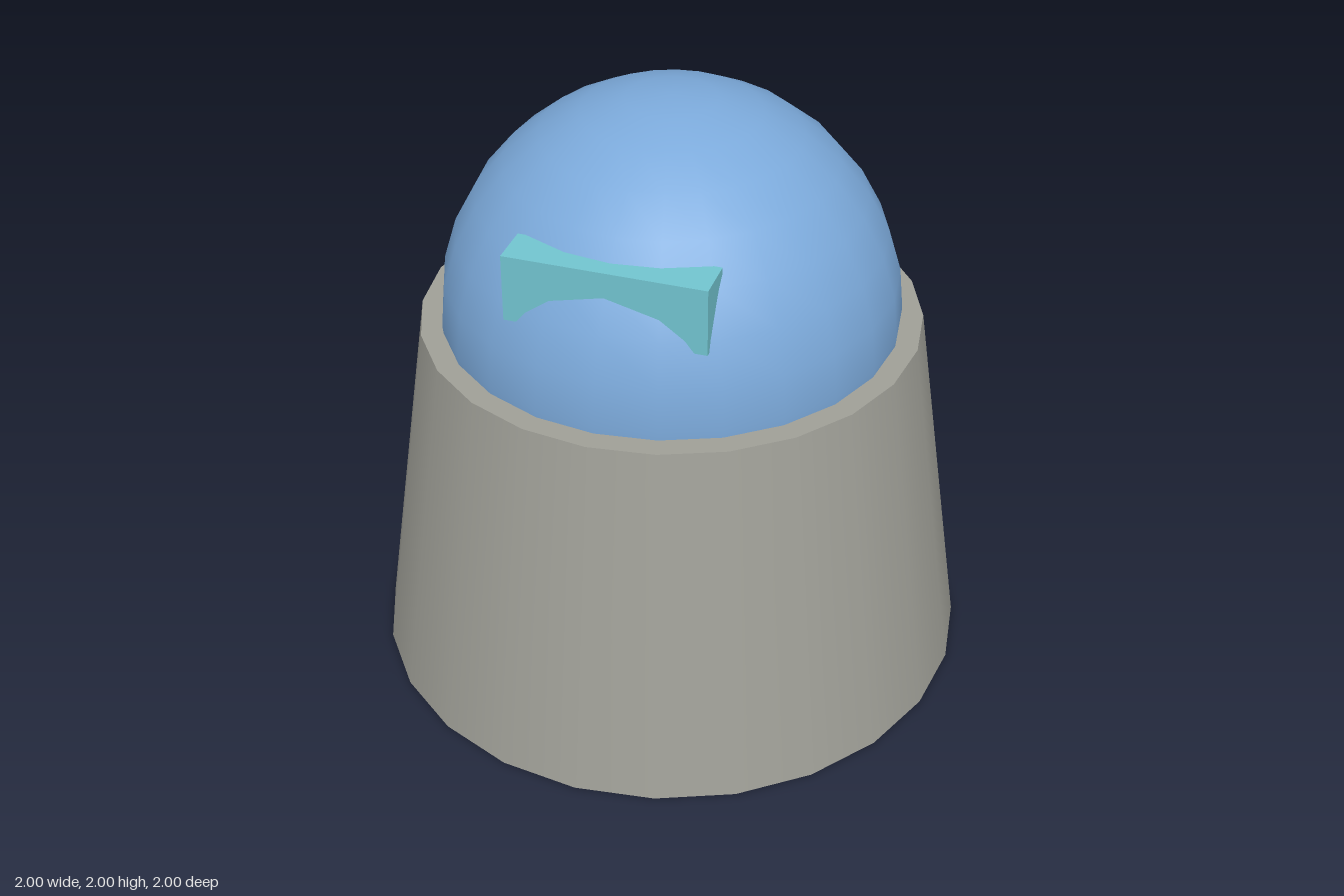
import * as THREE from 'three';

const material = (name, color) => {
  const m = new THREE.MeshStandardMaterial({ color });
  m.name = name;
  return m;
};

export function createModel() {
  const model = new THREE.Group();
  model.name = 'domedTower';

  const stone = material('warm grey', 0xa0a098);
  const blue = material('soft blue', 0x7caadb);
  const teal = material('light teal', 0x72c5d0);

  const add = (name, geometry, mat, x, y, z) => {
    const mesh = new THREE.Mesh(geometry, mat);
    mesh.name = name;
    mesh.position.set(x, y, z);
    model.add(mesh);
  };

  // Tapered base with flat top and bottom
  const baseHeight = 1.225;
  add('base', new THREE.CylinderGeometry(0.82, 1, baseHeight, 24), stone, 0, baseHeight / 2, 0);

  // Dome, continuing a little below the rim of the base
  const radius = 0.75;
  add('dome', new THREE.SphereGeometry(radius, 24, 9, 0, Math.PI * 2, 0, Math.PI * 9 / 16), blue, 0, 2 - radius, 0);

  // Visor block set into the front of the dome
  add('visor', new THREE.BoxGeometry(0.64, 0.22, 0.14), teal, 0, 1.61, 0.57);

  return model;
}
